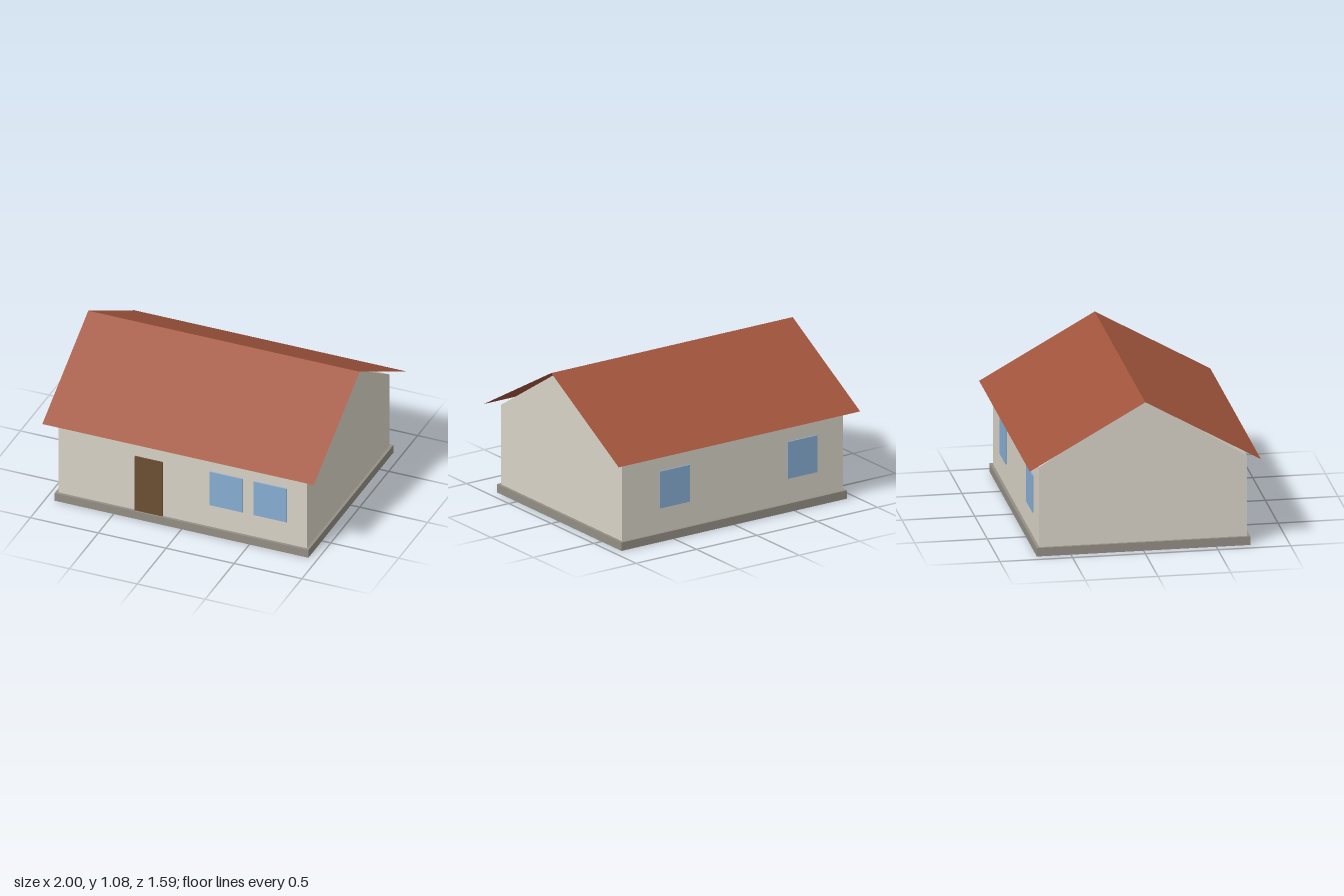
import * as THREE from 'three';

const EAVE = 0.63, RIDGE = 1.08, BASE = 0.06;

const paint = (color, side = THREE.FrontSide) =>
  new THREE.MeshStandardMaterial({ color, side, flatShading: true });

export function createModel() {
  const house = new THREE.Group();
  house.name = 'house';

  const add = (name, geometry, material, x = 0, y = 0, z = 0) => {
    const mesh = new THREE.Mesh(geometry, material);
    mesh.name = name;
    mesh.position.set(x, y, z);
    house.add(mesh);
    return mesh;
  };

  const stone = paint(0x938f85);
  const plaster = paint(0xd8d3c7);
  const tile = paint(0xa0543c, THREE.DoubleSide);
  const wood = paint(0x6b4e33);
  const glass = paint(0x88add3);

  // Foundation slab
  add('foundation', new THREE.BoxGeometry(1.87, BASE, 1.47), stone, 0, BASE / 2, 0);

  // Walls: gabled cross-section extruded along x
  const halfDepth = 0.715, length = 1.83;
  const gable = new THREE.Shape([
    new THREE.Vector2(-halfDepth, BASE),
    new THREE.Vector2(halfDepth, BASE),
    new THREE.Vector2(halfDepth, EAVE),
    new THREE.Vector2(0, RIDGE),
    new THREE.Vector2(-halfDepth, EAVE),
  ]);
  const walls = new THREE.ExtrudeGeometry(gable, { depth: length, bevelEnabled: false });
  walls.translate(0, 0, -length / 2).rotateY(Math.PI / 2);
  add('walls', walls, plaster);

  // Roof: two thin sheets meeting at the ridge and overhanging the walls
  const overhang = 0.795, rise = RIDGE - EAVE;
  for (const [name, side] of [['frontRoof', 1], ['backRoof', -1]]) {
    const sheet = new THREE.PlaneGeometry(2, Math.hypot(overhang, rise));
    sheet.rotateX(-Math.atan2(overhang, rise));
    if (side < 0) sheet.rotateY(Math.PI);
    add(name, sheet, tile, 0, (RIDGE + EAVE) / 2, side * overhang / 2);
  }

  // Door and windows: shallow panels standing just proud of the walls
  const panel = (name, width, bottom, top, material, x, side) =>
    add(name, new THREE.BoxGeometry(width, top - bottom, 0.02), material,
      x, (bottom + top) / 2, side * 0.714);

  panel('door', 0.205, BASE, 0.49, wood, -0.247, 1);
  for (const [name, x, side] of [
    ['frontWindowInner', 0.323, 1],
    ['frontWindowOuter', 0.648, 1],
    ['backWindowLeft', 0.484, -1],
    ['backWindowRight', -0.575, -1],
  ]) panel(name, 0.245, 0.235, 0.5, glass, x, side);

  return house;
}
